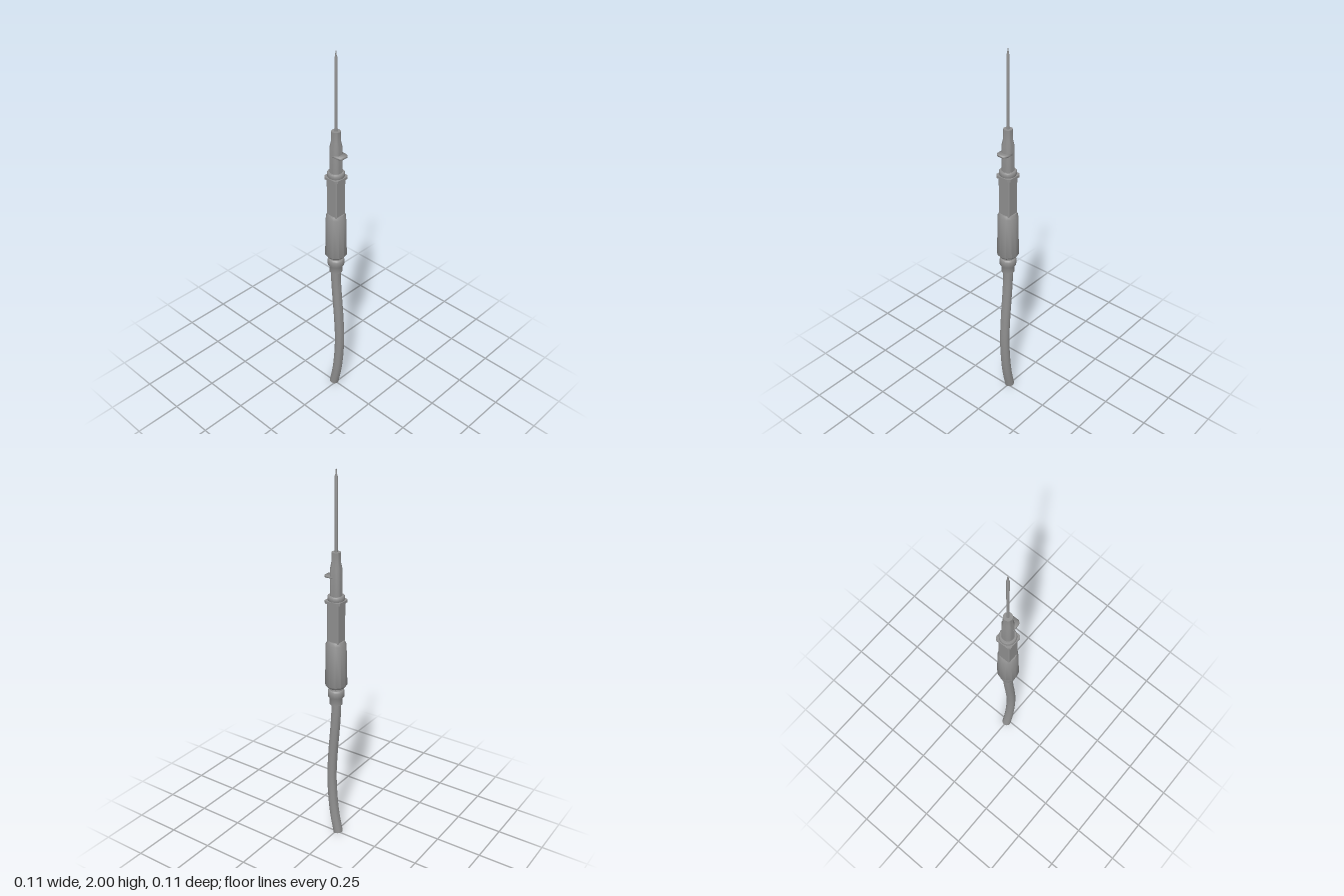
import * as THREE from 'three';
import { toCreasedNormals } from 'three/addons/utils/BufferGeometryUtils.js';

const material = new THREE.MeshStandardMaterial({ color: 0x8f8f8f });

export function createModel() {
  const group = new THREE.Group();

  const add = (name, geometry, crease = 0.75) => {
    const mesh = new THREE.Mesh(toCreasedNormals(geometry, crease), material);
    mesh.name = name;
    group.add(mesh);
    return mesh;
  };

  // Turned part from [radius, height] pairs, bottom to top
  const turned = (name, profile, sides) =>
    add(name, new THREE.LatheGeometry(profile.map(([r, y]) => new THREE.Vector2(r, y)), sides));

  // Square bar with chamfered corners, standing between two heights
  const squareBar = (name, half, chamfer, y0, y1) => {
    const a = half, b = half - chamfer;
    const shape = new THREE.Shape([
      [a, -b], [a, b], [b, a], [-b, a], [-a, b], [-a, -b], [-b, -a], [b, -a],
    ].map(([x, y]) => new THREE.Vector2(x, y)));
    const geometry = new THREE.ExtrudeGeometry(shape, { depth: y1 - y0, bevelEnabled: false });
    geometry.rotateX(-Math.PI / 2).translate(0, y0, 0);
    return add(name, geometry);
  };

  // Curved cable with a closed lower end
  const path = new THREE.CatmullRomCurve3([
    [0.006, -0.014], [0.1, 0.006], [0.2, 0.019], [0.35, 0.027],
    [0.5, 0.02], [0.65, 0.007], [0.75, 0.0], [0.83, -0.001],
  ].map(([y, z]) => new THREE.Vector3(0, y, z)));
  add('cable', new THREE.TubeGeometry(path, 32, 0.0255, 16, false));
  const end = add('cableEnd', new THREE.CircleGeometry(0.0255, 16));
  end.position.copy(path.getPoint(0));
  end.quaternion.setFromUnitVectors(new THREE.Vector3(0, 0, 1), path.getTangent(0).negate());

  // Stepped collar where the cable enters
  turned('cableCollar', [
    [0, 0.8], [0.034, 0.8], [0.034, 0.84], [0.039, 0.84], [0.043, 0.846],
    [0.043, 0.874], [0.039, 0.882], [0.035, 0.884], [0.035, 0.91], [0, 0.91],
  ], 16);

  // Grip sleeve, a little wider towards the bottom, with bevelled ends
  turned('grip', [
    [0, 0.898], [0.045, 0.898], [0.057, 0.912], [0.052, 1.136], [0.043, 1.154], [0, 1.154],
  ], 12);

  // Square shaft and its flange
  squareBar('shaft', 0.034, 0.005, 1.14, 1.365);
  squareBar('flange', 0.045, 0.012, 1.354, 1.367);

  // Round ring above the flange
  turned('ring', [
    [0, 1.36], [0.038, 1.36], [0.043, 1.373], [0.043, 1.388], [0.04, 1.392], [0, 1.392],
  ], 20);

  // Nozzle: straight barrel, short taper, straight tip
  turned('nozzle', [
    [0, 1.385], [0.031, 1.385], [0.03, 1.528], [0.0235, 1.556], [0.0225, 1.609], [0, 1.609],
  ], 20);

  // Thin finger tab on the front of the nozzle, softly rounded
  const tab = new THREE.Shape([
    [-0.03, 0], [0.03, 0], [0.03, 0.038], [0.026, 0.05], [0.016, 0.058],
    [-0.016, 0.058], [-0.026, 0.05], [-0.03, 0.038],
  ].map(([x, y]) => new THREE.Vector2(x, y)));
  const tabGeometry = new THREE.ExtrudeGeometry(tab, { depth: 0.008, bevelEnabled: false });
  tabGeometry.rotateX(Math.PI / 2).translate(0, 1.49, 0);
  add('fingerTab', tabGeometry, 3);

  // Needle with a fine tip
  turned('needle', [
    [0, 1.6], [0.0075, 1.6], [0.0072, 1.968], [0.0035, 1.98], [0.003, 2], [0, 2],
  ], 12);

  return group;
}
